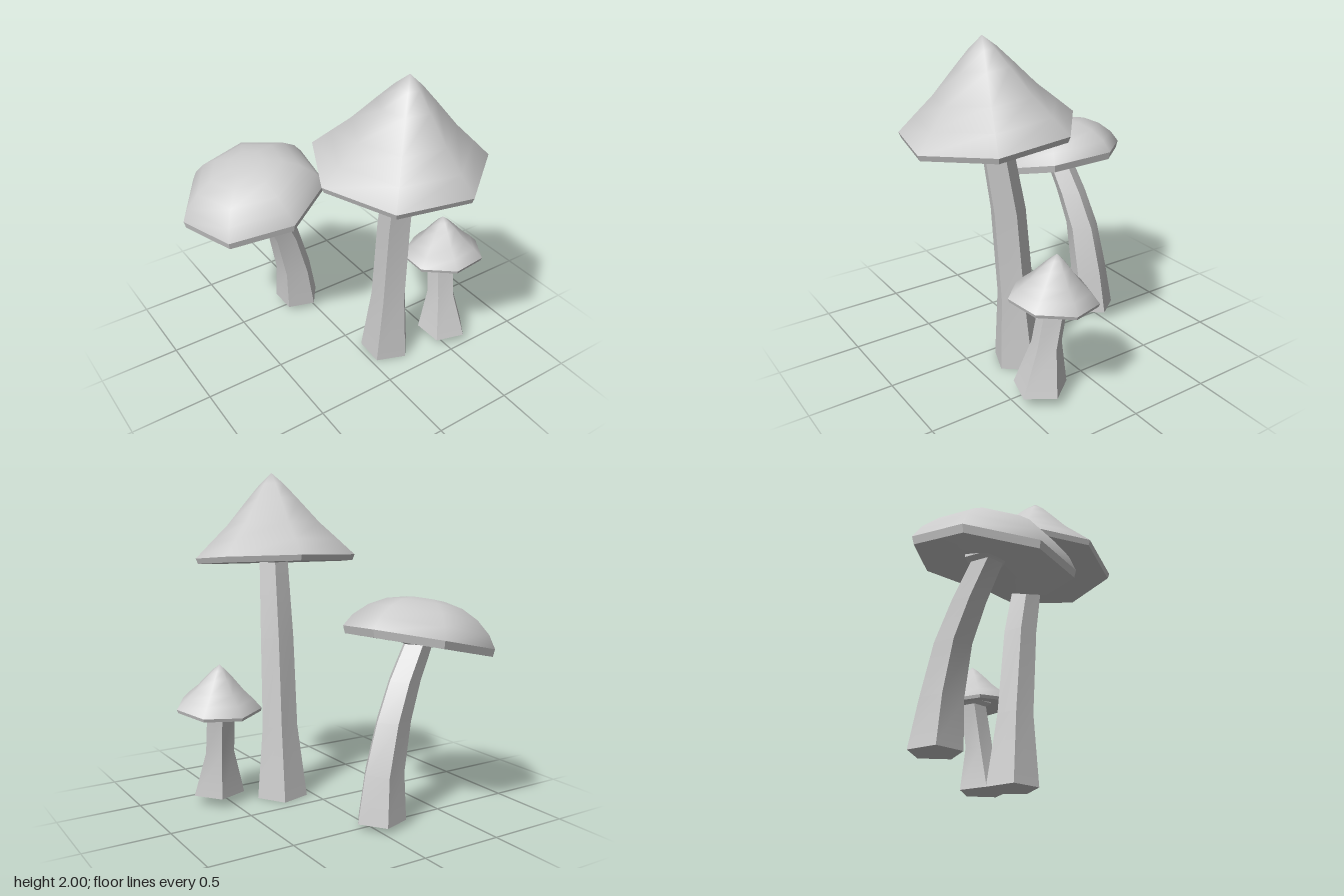
import * as THREE from 'three';
import { mergeVertices, toCreasedNormals } from 'three/addons/utils/BufferGeometryUtils.js';

const clay = new THREE.MeshStandardMaterial({ color: 0xcccccc });
clay.name = 'clay grey';

// Skin a list of rings, given in order from the bottom up
function loft(rings) {
  const n = rings[0].length, index = [];
  for (let i = 0; i < rings.length - 1; i++) {
    for (let j = 0; j < n; j++) {
      const k = (j + 1) % n;
      const a = i * n + j, b = i * n + k, c = a + n, d = b + n;
      index.push(a, c, b, b, c, d);
    }
  }
  const geo = new THREE.BufferGeometry();
  geo.setAttribute('position', new THREE.Float32BufferAttribute(rings.flat(2), 3));
  geo.setIndex(index);
  return mergeVertices(geo, 1e-5);
}

function ring(sides, start, x, y, z, r) {
  return Array.from({ length: sides }, (_, j) => {
    const a = THREE.MathUtils.degToRad(start) + (j / sides) * Math.PI * 2;
    return [x + r * Math.cos(a), y, z + r * Math.sin(a)];
  });
}

function addMesh(group, name, geo) {
  const mesh = new THREE.Mesh(geo, clay);
  mesh.name = name;
  group.add(mesh);
}

// Five-sided stem along [x, y, z, radius] levels, flaring where it meets the cap
function addStem(group, start, levels) {
  const [x, y, z, r] = levels[levels.length - 1];
  const [bx, by, bz] = levels[0];
  const all = [[bx, by, bz, 0], ...levels, [x, y + 0.02, z, r * 1.4], [x, y + 0.06, z, r * 1.4], [x, y + 0.06, z, 0]];
  const rings = all.map(([px, py, pz, pr]) => ring(5, start, px, py, pz, pr));
  addMesh(group, 'stem', toCreasedNormals(loft(rings), THREE.MathUtils.degToRad(40)));
}

// Seven-sided leaning cap: smooth dome, thin rim and hollowed underside
function addCap(group, { center, start, radius, tilt, lean, rim, hollow, profile }) {
  const [cx, cy, cz] = center;
  const top = profile[profile.length - 1][1];
  const make = ([r, h]) => {
    const s = Math.max(0, (h - rim) / (top - rim));
    return ring(7, start, cx + lean[0] * s, cy + h, cz + lean[1] * s, r * radius)
      .map(([x, y, z]) => [x, y + tilt[0] * (x - cx) + tilt[1] * (z - cz), z]);
  };
  addMesh(group, 'capDome', (() => {
    const geo = loft([[1, rim], ...profile].map(make));
    geo.computeVertexNormals();
    return geo;
  })());
  addMesh(group, 'capRim', toCreasedNormals(loft([[0.975, 0], [1, rim]].map(make)), 0.3));
  const under = loft([[0, hollow], [0.5, hollow * 0.6], [0.975, 0]].map(make));
  under.computeVertexNormals();
  addMesh(group, 'capUnderside', under);
}

export function createModel() {
  const model = new THREE.Group();
  model.name = 'mushrooms';
  const add = (name) => {
    const group = new THREE.Group();
    group.name = name;
    model.add(group);
    return group;
  };

  // Tall pointed mushroom
  const tall = add('tallMushroom');
  addStem(tall, 75, [
    [0.17, 0, 0.225, 0.162], [0.168, 0.45, 0.25, 0.114],
    [0.16, 1.0, 0.29, 0.106], [0.14, 1.46, 0.36, 0.092],
  ]);
  addCap(tall, {
    center: [0.105, 1.455, 0.37], start: 180, radius: 0.503, tilt: [0.02, -0.08],
    lean: [0.015, 0.04], rim: 0.033, hollow: 0.06,
    profile: [[0.8, 0.13], [0.58, 0.235], [0.32, 0.385], [0.15, 0.48], [0, 0.548]],
  });

  // Bent round mushroom
  const round = add('roundMushroom');
  addStem(round, 0, [
    [-0.06, 0.035, -0.515, 0.15], [-0.085, 0.31, -0.505, 0.122],
    [-0.155, 0.6, -0.495, 0.106], [-0.25, 0.82, -0.47, 0.098], [-0.365, 1.02, -0.445, 0.09],
  ]);
  addCap(round, {
    center: [-0.395, 1.0, -0.43], start: -17, radius: 0.447, tilt: [0.22, -0.045],
    lean: [-0.04, 0], rim: 0.045, hollow: 0.05,
    profile: [[0.9, 0.12], [0.72, 0.195], [0.5, 0.248], [0.25, 0.275], [0, 0.28]],
  });

  // Small pointed mushroom
  const small = add('smallMushroom');
  addStem(small, 70, [
    [0.555, 0.06, 0.335, 0.16], [0.56, 0.33, 0.295, 0.09], [0.57, 0.6, 0.25, 0.086],
  ]);
  addCap(small, {
    center: [0.573, 0.6, 0.262], start: 6, radius: 0.257, tilt: [0, 0.1],
    lean: [0, -0.022], rim: 0.02, hollow: 0.035,
    profile: [[0.8, 0.075], [0.58, 0.125], [0.32, 0.2], [0.15, 0.245], [0, 0.277]],
  });

  return model;
}
